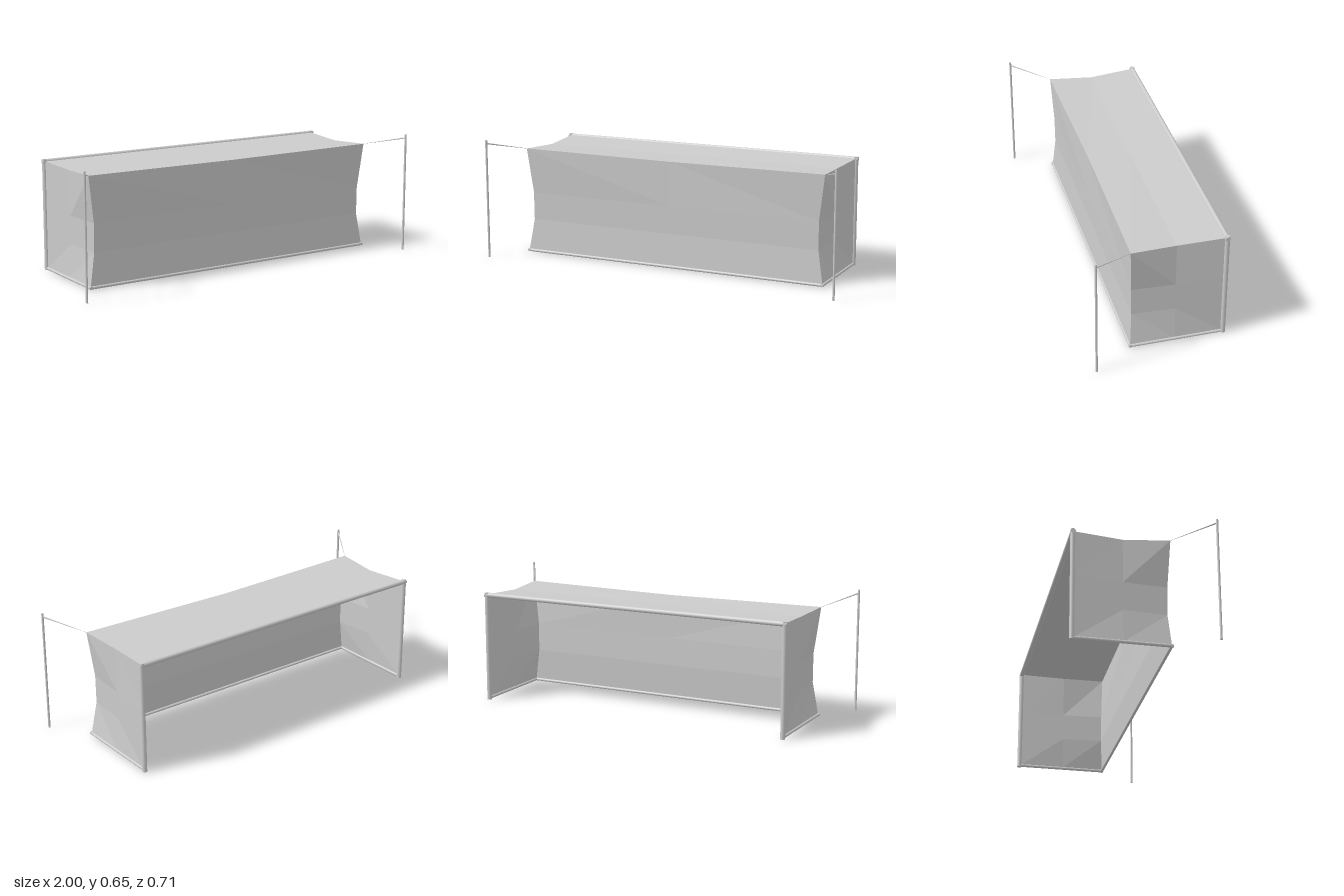
import * as THREE from 'three';

const metal = new THREE.MeshStandardMaterial({ color: 0xcccccc });
const cloth = new THREE.MeshStandardMaterial({ color: 0xcccccc, flatShading: true, side: THREE.DoubleSide });

// Round bar between two points, optionally tapered towards the second
function bar(name, a, b, r, rEnd = r) {
  const from = new THREE.Vector3(...a), to = new THREE.Vector3(...b);
  const dir = to.clone().sub(from);
  const mesh = new THREE.Mesh(new THREE.CylinderGeometry(rEnd, r, dir.length(), 16), metal);
  mesh.position.copy(from).add(to).multiplyScalar(0.5);
  mesh.quaternion.setFromUnitVectors(new THREE.Vector3(0, 1, 0), dir.normalize());
  mesh.name = name;
  return mesh;
}

// Net panel skinned through rows of points
function panel(name, rows) {
  const n = rows[0].length, index = [];
  for (let i = 0; i < rows.length - 1; i++) {
    for (let j = 0; j < n - 1; j++) {
      const a = i * n + j, b = a + n;
      index.push(a, a + 1, b, a + 1, b + 1, b);
    }
  }
  const geo = new THREE.BufferGeometry();
  geo.setAttribute('position', new THREE.Float32BufferAttribute(rows.flat(2), 3));
  geo.setIndex(index);
  geo.computeVertexNormals();
  const mesh = new THREE.Mesh(geo, cloth);
  mesh.name = name;
  return mesh;
}

export function createModel() {
  const goal = new THREE.Group();
  goal.name = 'goal';
  const X = 0.861, BACK = -0.34, FRONT = 0.142;

  // Main frame around the opening
  goal.add(bar('crossbar', [-0.873, 0.578, BACK], [0.873, 0.578, BACK], 0.0125));
  goal.add(bar('frontGroundBar', [-0.868, 0.009, FRONT], [0.868, 0.009, FRONT], 0.008));
  for (const s of [-1, 1]) {
    goal.add(bar('post', [s * X, 0, BACK], [s * X, 0.59, BACK], 0.0125));
    goal.add(bar('sideGroundBar', [s * X, 0.009, BACK], [s * X, 0.009, FRONT + 0.008], 0.008));
    // Free-standing pole with its tapering tension rope
    goal.add(bar('netPole', [s * 0.993, 0, 0.3485], [s * 0.993, 0.648, 0.3485], 0.006));
    goal.add(bar('tensionRope', [s * 0.993, 0.63, 0.3485], [s * 0.864, 0.58, 0.145], 0.004, 0.0006));
  }

  // Front net edge: height, depth and pinched half width of each row
  const edge = [[0.012, 0.143, 0.861], [0.185, 0.131, 0.832], [0.335, 0.133, 0.832], [0.58, 0.145, 0.864]];
  const columns = [-1, 0, 1];

  // Large net panel, its top edge sagging at the middle
  goal.add(panel('frontNet', edge.map(([y, z, x], i) => columns.map(c => {
    const sag = i === 3 && c === 0 ? 1 : 0;
    return [c * x, y - 0.007 * sag, z - 0.012 * sag];
  }))));

  // Roof net, drawn in halfway back
  const roof = [[0.58, 0.145, 0.864], [0.569, -0.09, 0.845], [0.58, -0.332, 0.861]];
  goal.add(panel('roofNet', roof.map(([y, z, x], i) => columns.map(c => {
    const sag = i === 0 && c === 0 ? 1 : 0;
    return [c * x, y - 0.007 * sag, z - 0.012 * sag];
  }))));

  // Side nets from the front edge back to the posts
  for (const s of [-1, 1]) {
    goal.add(panel('sideNet', edge.map(([y, z, x], i) => [
      [s * x, y, z],
      [s * (i === 3 ? 0.845 : (x + X) / 2), i === 3 ? 0.569 : y, -0.09],
      [s * X, y, -0.332],
    ])));
  }
  return goal;
}
